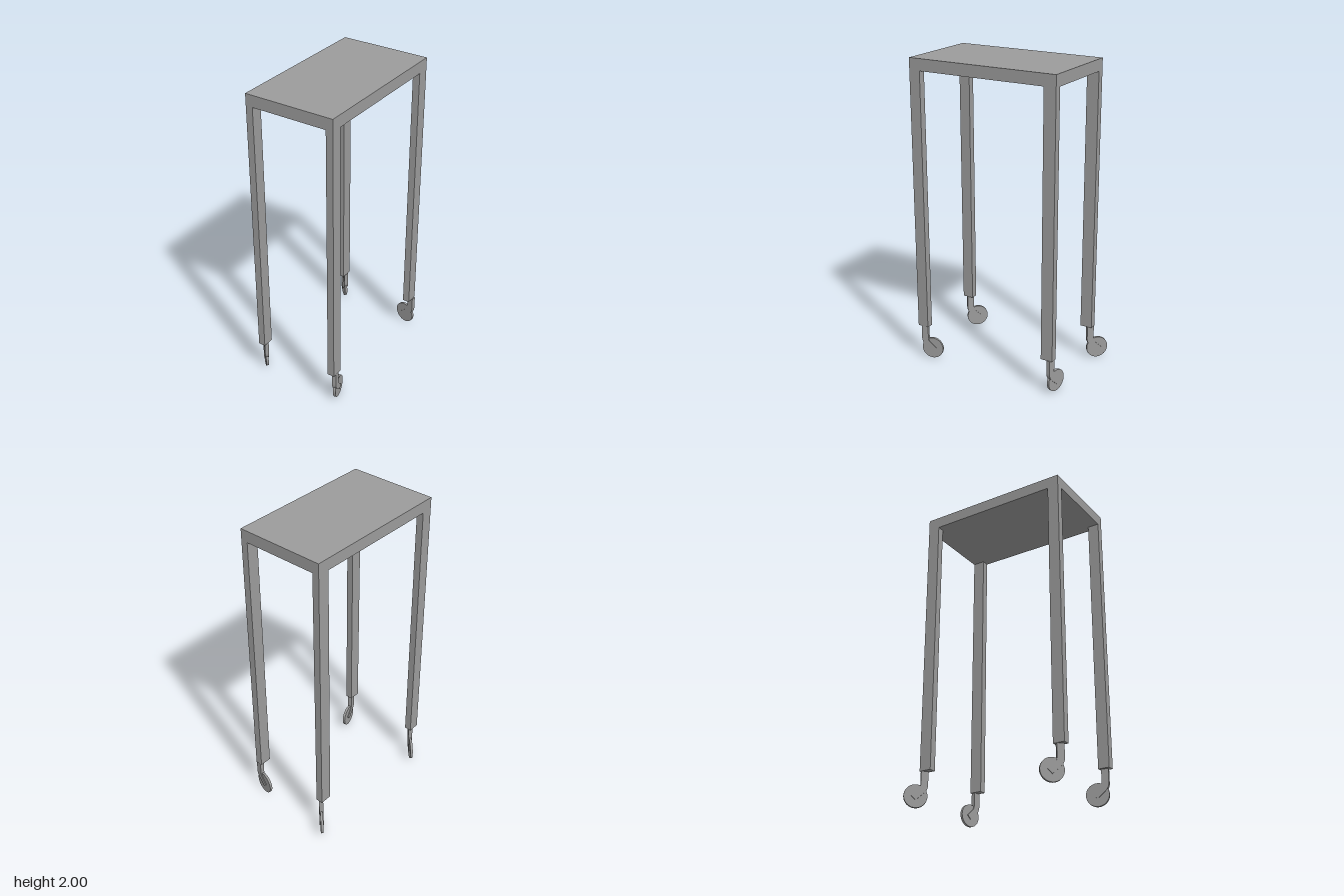
import * as THREE from 'three';

const material = new THREE.MeshStandardMaterial({ color: 0x9b9b9b, flatShading: true });

// Box given by its minimum and maximum corners
function box(name, [x0, y0, z0], [x1, y1, z1]) {
  const mesh = new THREE.Mesh(new THREE.BoxGeometry(x1 - x0, y1 - y0, z1 - z0), material);
  mesh.position.set((x0 + x1) / 2, (y0 + y1) / 2, (z0 + z1) / 2);
  mesh.name = name;
  return mesh;
}

// Bent flat fork with a thin disc wheel, trailing towards its own +x
function createCaster(name, x, z, dirX, dirZ) {
  const caster = new THREE.Group();
  caster.name = name;

  const profile = new THREE.Shape();
  profile.moveTo(-0.022, 0.228);
  profile.lineTo(-0.022, 0.14);
  profile.quadraticCurveTo(-0.022, 0.11, 0.002, 0.09);
  profile.lineTo(0.05, 0.045);
  profile.lineTo(0.077, 0.072);
  profile.lineTo(0.032, 0.114);
  profile.quadraticCurveTo(0.022, 0.125, 0.022, 0.145);
  profile.lineTo(0.022, 0.228);
  const forkGeometry = new THREE.ExtrudeGeometry(profile, { depth: 0.026, bevelEnabled: false, curveSegments: 6 });
  forkGeometry.translate(0, 0, -0.013);
  const fork = new THREE.Mesh(forkGeometry, material);
  fork.name = 'casterFork';

  const wheelGeometry = new THREE.CylinderGeometry(0.0715, 0.0715, 0.016, 40);
  wheelGeometry.rotateX(Math.PI / 2);
  const wheel = new THREE.Mesh(wheelGeometry, material);
  wheel.position.set(0.05, 0.0715, 0);
  wheel.name = 'casterWheel';

  caster.add(fork, wheel);
  caster.position.set(x, 0, z);
  caster.rotation.y = Math.atan2(-dirZ, dirX);
  return caster;
}

export function createModel() {
  const table = new THREE.Group();
  table.name = 'rollingTable';
  const [x0, x1, z0, z1] = [-0.264, 0.321, -0.463, 0.538];
  const underside = 1.925, legBottom = 0.226, legWidth = 0.046;

  table.add(box('tableTop', [x0, underside, z0], [x1, 2, z1]));

  // Four legs flush with the corners of the top
  for (const [side, xa] of [['Right', x0], ['Left', x1 - legWidth]]) {
    for (const [end, za, zb] of [['front', 0.464, z1], ['back', z0, -0.384]]) {
      table.add(box(end + side + 'Leg', [xa, legBottom, za], [xa + legWidth, underside, zb]));
    }
  }

  // Casters, each swivelled its own way
  table.add(
    createCaster('frontRightCaster', -0.239, 0.496, -1, -1),
    createCaster('backRightCaster', -0.239, -0.444, -1, -1),
    createCaster('frontLeftCaster', 0.303, 0.496, -0.25, -0.97),
    createCaster('backLeftCaster', 0.306, -0.444, -0.98, -0.21),
  );
  return table;
}
